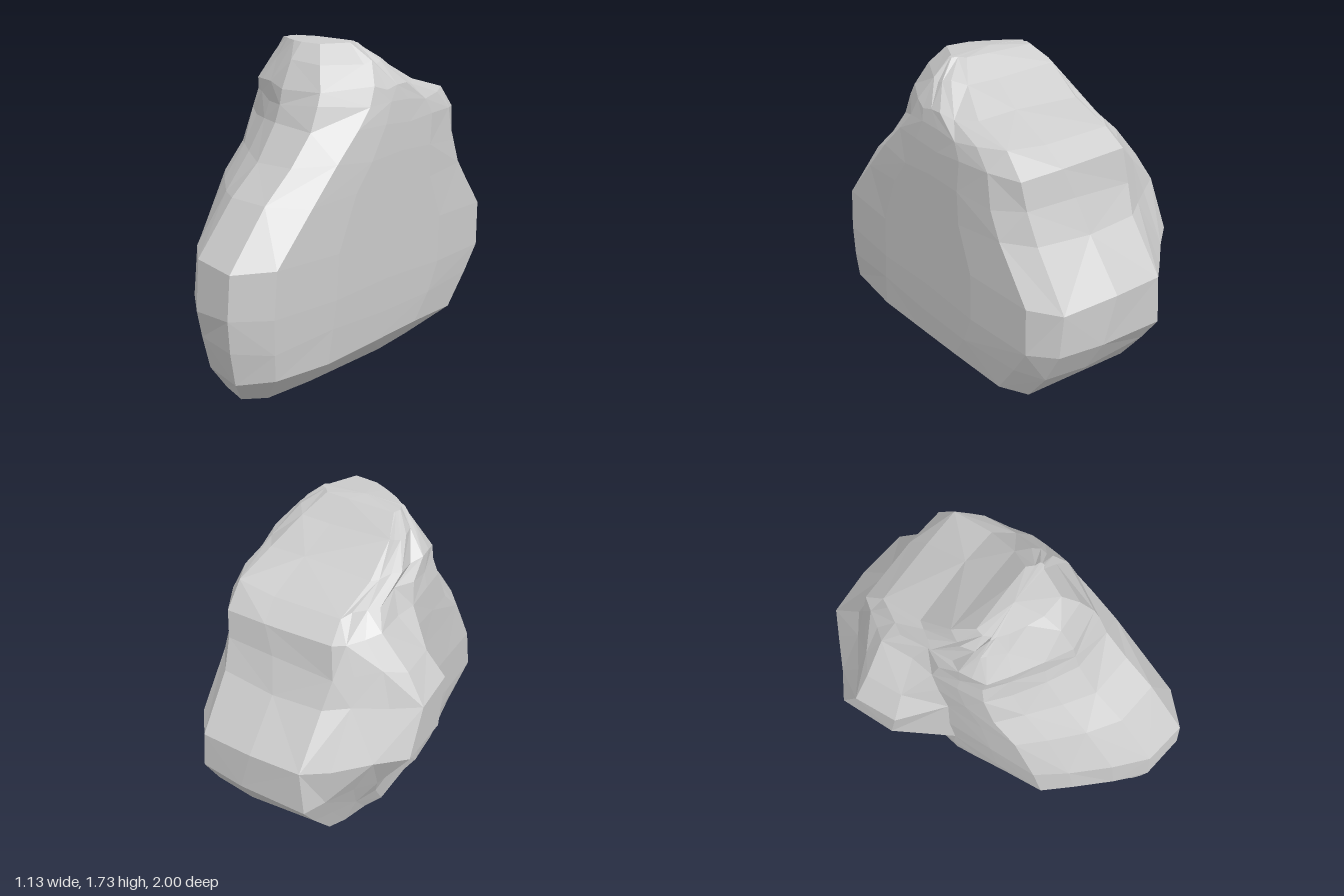
import * as THREE from 'three';

// Horizontal cross-sections of the boulder, bottom to top:
// [y, front z, back z, right x, left x, bulge x, front-left taper, front-right chamfer]
const LEVELS = [
  [0.03, 0.83, -0.55, 0.41, -0.15, -0.15, 1.05, 0.10],
  [0.18, 0.95, -0.76, 0.55, -0.29, -0.29, 0.92, 0.13],
  [0.34, 0.985, -0.90, 0.56, -0.31, -0.32, 0.70, 0.15],
  [0.50, 1.00, -1.00, 0.565, -0.32, -0.38, 0.46, 0.16],
  [0.74, 0.98, -1.00, 0.565, -0.33, -0.57, 0.50, 0.16],
  [1.00, 0.75, -0.79, 0.565, -0.32, -0.57, 0.52, 0.17],
  [1.16, 0.57, -0.72, 0.565, -0.32, -0.47, 0.55, 0.17],
  [1.32, 0.44, -0.69, 0.56, -0.31, -0.32, 0.52, 0.20],
  [1.42, 0.41, -0.58, 0.55, -0.29, -0.26, 0.58, 0.27],
  [1.50, 0.39, -0.33, 0.535, -0.275, -0.26, 0.70, 0.30],
  [1.62, 0.31, -0.14, 0.45, -0.20, -0.20, 1.00, 0.24],
  [1.71, 0.21, -0.02, 0.35, -0.12, -0.12, 1.10, 0.15],
];

// Outline of one cross-section, from the nose round the left side and back
function outline([, zF, zB, xR, xL, xB, taper, chamfer]) {
  const { lerp } = THREE.MathUtils;
  const d = (zF - zB) / 2;
  const t = taper * d;
  const w = xR - xL;
  const b = xR - xB;
  const q = 1.135 * (b / 1.135) ** 4; // rear corner is cut more where the bulge is wide
  const leftFront = zF - t;
  const bulgeFront = zB + 0.72 * d;
  const rightFront = zF - chamfer;
  const rightBack = zB + Math.min(0.16, 0.3 * d);
  return [
    // nose, slanting back to the left flank
    [xR - 0.02, rightFront],
    [xR - 0.19 * w, zF - 0.35 * Math.max(0, chamfer - 0.16)],
    [xR - 0.47 * w, zF - 0.07 * t],
    [xR - 0.65 * w, zF - 0.35 * t],
    [xR - 0.83 * w, zF - 0.7 * t],
    [xL + 0.03, leftFront],
    // left flank and rear bulge
    [xL + 0.01, lerp(leftFront, bulgeFront, 0.35)],
    [xL, lerp(leftFront, bulgeFront, 0.7)],
    [xB + 0.02, bulgeFront],
    [xB, zB + 0.4 * d],
    [xB + 0.12 * q, zB + 0.28 * d],
    [xB + 0.25 * q, zB + 0.13 * d],
    [xB + 0.35 * q, zB + 0.02 * d],
    // back
    [xB + 0.6 * b, zB],
    [xR - 0.13 * b, zB + 0.02 * d],
    [xR - 0.03, rightBack],
    // flat right face
    [xR, lerp(rightBack, rightFront, 0.25)],
    [xR, lerp(rightBack, rightFront, 0.5)],
    [xR, lerp(rightBack, rightFront, 0.75)],
  ];
}

function boulderGeometry() {
  const pos = [];
  const index = [];
  const n = outline(LEVELS[0]).length;

  LEVELS.forEach((level, i) => {
    // small height variation so the facets do not line up in rows
    const inner = i > 0 && i < LEVELS.length - 1;
    outline(level).forEach(([x, z], j) => {
      const wobble = inner ? 0.012 * Math.sin(i * 2.3 + j * 1.9) : 0;
      pos.push(x, level[0] + wobble, z);
    });
  });
  const bottom = pos.length / 3;
  pos.push(0.12, 0, -0.15);
  const top = bottom + 1;
  pos.push(0.1, 1.725, 0.05);

  const last = (LEVELS.length - 1) * n;
  for (let j = 0; j < n; j++) {
    const k = (j + 1) % n;
    for (let i = 0; i < LEVELS.length - 1; i++) {
      const a = i * n + j;
      const b = i * n + k;
      // alternate the diagonal for irregular facets
      if ((i + j) % 2) index.push(a, a + n, b, b, a + n, b + n);
      else index.push(a, a + n, b + n, a, b + n, b);
    }
    index.push(bottom, j, k, top, last + k, last + j);
  }

  const geometry = new THREE.BufferGeometry();
  geometry.setAttribute('position', new THREE.Float32BufferAttribute(pos, 3));
  geometry.setIndex(index);
  const faceted = geometry.toNonIndexed();
  faceted.computeVertexNormals();
  return faceted;
}

export function createModel() {
  const group = new THREE.Group();
  group.name = 'rock';
  const material = new THREE.MeshStandardMaterial({ color: 0xcccccc, flatShading: true });
  const boulder = new THREE.Mesh(boulderGeometry(), material);
  boulder.name = 'boulder';
  group.add(boulder);
  return group;
}
